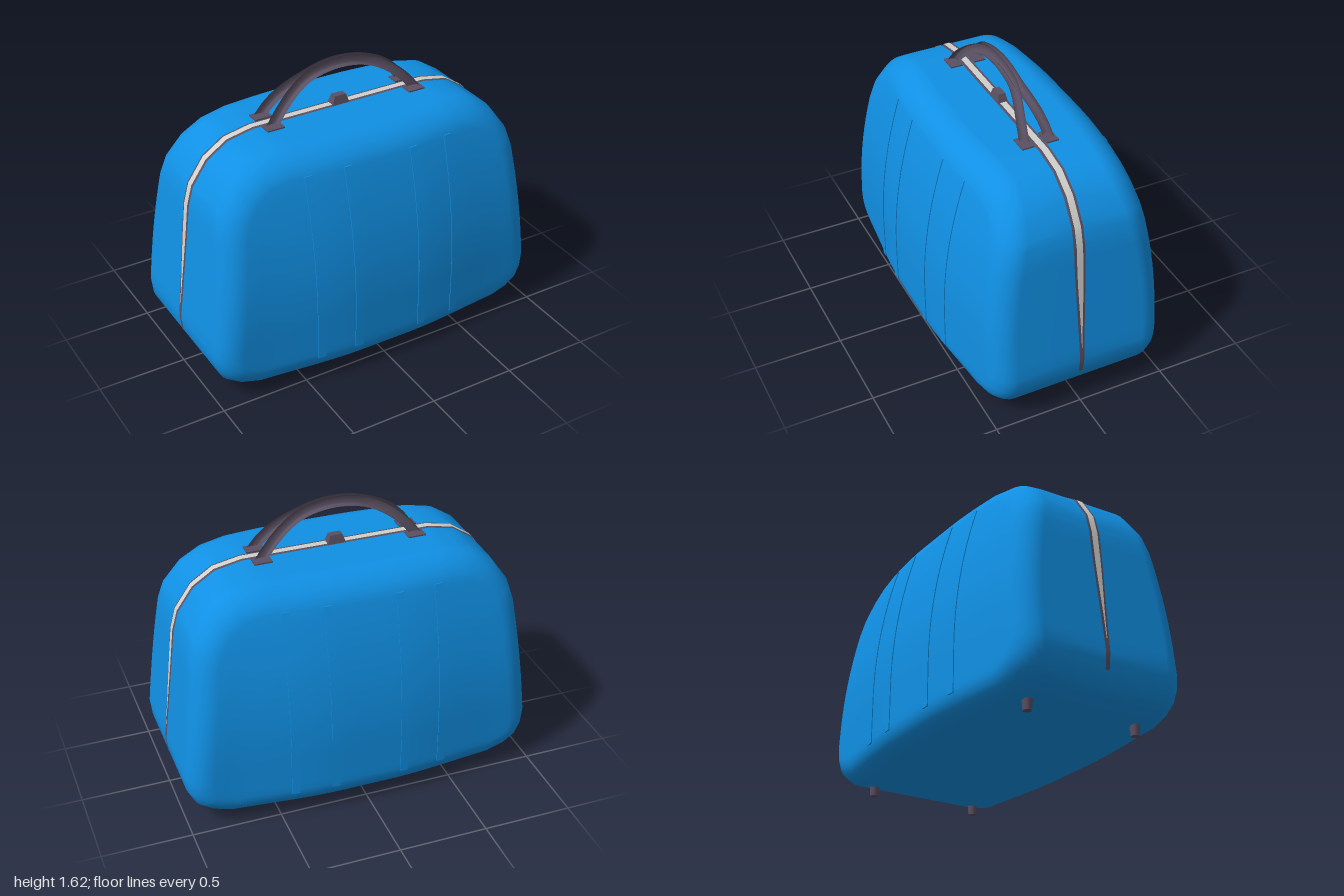
import * as THREE from 'three';

const smooth = THREE.MathUtils.smoothstep;
const lerp = THREE.MathUtils.lerp;

// Right half of the case outline, from bottom to top
const RIGHT = [[0.76, 0.05], [0.87, 0.078], [0.95, 0.13], [0.99, 0.21], [1, 0.3],
  [0.92, 1], [0.89, 1.11], [0.8, 1.24], [0.68, 1.32], [0.53, 1.35]];
const OUTLINE = [...RIGHT, ...RIGHT.map(([x, y]) => [-x, y]).reverse()];
const FILLET = 0.13;

// Bulge of the large front and back faces
function faceDepth(x, y) {
  return 0.56 - 0.19 * Math.max(0, y - 0.4) ** 2 - 0.06 * smooth(Math.abs(x), 0.15, 0.95);
}

// Outline moved outwards by d (mitred corners), with long edges subdivided
function offsetOutline(d) {
  const n = OUTLINE.length;
  const normal = (i) => {
    const a = OUTLINE[(i + n) % n], b = OUTLINE[(i + 1) % n];
    return new THREE.Vector2(b[1] - a[1], a[0] - b[0]).normalize();
  };
  const moved = OUTLINE.map(([x, y], i) => {
    const n1 = normal(i - 1), n2 = normal(i);
    const k = d / (1 + n1.dot(n2));
    return [x + (n1.x + n2.x) * k, y + (n1.y + n2.y) * k];
  });
  const points = [];
  moved.forEach((p, i) => {
    const a = OUTLINE[i], b = OUTLINE[(i + 1) % n], q = moved[(i + 1) % n];
    const steps = Math.ceil(Math.hypot(b[0] - a[0], b[1] - a[1]) / 0.08);
    for (let s = 0; s < steps; s++) {
      points.push([lerp(p[0], q[0], s / steps), lerp(p[1], q[1], s / steps)]);
    }
  });
  return points;
}

// Surface through rows of points; closed joins the end of each row to its start
function loft(rows, closed, flip = false) {
  const n = rows[0].length, index = [];
  for (let i = 0; i < rows.length - 1; i++) {
    for (let j = 0; j < (closed ? n : n - 1); j++) {
      const k = (j + 1) % n;
      const a = i * n + j, b = i * n + k, c = a + n, d = b + n;
      if (flip) index.push(a, c, b, b, c, d);
      else index.push(a, b, c, b, d, c);
    }
  }
  const geometry = new THREE.BufferGeometry();
  geometry.setAttribute('position', new THREE.Float32BufferAttribute(rows.flat(2), 3));
  geometry.setIndex(index);
  geometry.computeVertexNormals();
  return geometry;
}

// One half of the case: straight wall, rounded edge, bulged face
function shellGeometry(side) {
  const rows = [offsetOutline(0).map(([x, y]) => [x, y, 0])];
  for (let i = 0; i <= 7; i++) {
    const t = (i / 7) * Math.PI / 2;
    rows.push(offsetOutline(-FILLET * (1 - Math.cos(t))).map(([x, y]) =>
      [x, y, side * (faceDepth(x, y) - FILLET * (1 - Math.sin(t)))]));
  }
  const inner = offsetOutline(-FILLET);
  for (let i = 1; i <= 12; i++) {
    const k = 1 - i / 12;
    rows.push(inner.map(([x, y]) => {
      const px = x * k, py = lerp(0.65, y, k);
      return [px, py, side * faceDepth(px, py)];
    }));
  }
  return loft(rows, true, side < 0);
}

// Thin strip running up one side, over the top and down the other
function seamGeometry(lift, minY, width) {
  const path = offsetOutline(lift).filter(([, y]) => y > minY);
  return loft([-1, 1].map((s) => path.map(([x, y]) => [x, y, s * width(y)])), false);
}

// Shallow rib that follows the bulge of the face
function ribGeometry(x) {
  const geometry = new THREE.BoxGeometry(0.045, 1.07, 0.03, 1, 20, 1);
  geometry.translate(x, 0.695, -0.01);
  const p = geometry.attributes.position;
  for (let i = 0; i < p.count; i++) {
    p.setZ(i, p.getZ(i) + faceDepth(p.getX(i), p.getY(i)));
  }
  geometry.computeVertexNormals();
  return geometry;
}

// One arched strand of the handle, spreading away from the centre at its ends
function strandGeometry(side) {
  const rows = [], radius = 0.526, centreY = 1.067;
  for (let i = 0; i <= 40; i++) {
    const a = lerp(-1.03, 1.03, i / 40);
    const z = side * (0.012 + 0.06 * smooth(Math.abs(radius * Math.sin(a)), 0.16, 0.48));
    const row = [];
    for (let j = 0; j < 12; j++) {
      const t = (j / 12) * Math.PI * 2;
      const square = (v) => Math.sign(v) * Math.abs(v) ** 0.6;
      const r = radius + 0.027 * square(Math.cos(t));
      row.push([r * Math.sin(a), centreY + r * Math.cos(a), z + 0.023 * square(Math.sin(t))]);
    }
    rows.push(row);
  }
  return loft(rows, true, true);
}

export function createModel() {
  const blue = new THREE.MeshStandardMaterial({ color: 0x1090e4 });
  blue.name = 'blue shell';
  const dark = new THREE.MeshStandardMaterial({ color: 0x5a5062 });
  dark.name = 'dark trim';
  const silver = new THREE.MeshStandardMaterial({ color: 0xd0d0cc, side: THREE.DoubleSide });
  silver.name = 'silver zip';

  const model = new THREE.Group();
  model.name = 'suitcase';
  const add = (name, geometry, material, x = 0, y = 0, z = 0) => {
    const mesh = new THREE.Mesh(geometry, material);
    mesh.name = name;
    mesh.position.set(x, y, z);
    model.add(mesh);
    return mesh;
  };

  // Case halves with ribs
  for (const side of [1, -1]) {
    add(side > 0 ? 'frontShell' : 'backShell', shellGeometry(side), blue);
    for (const x of [-0.425, -0.2, 0.2, 0.425]) {
      add('rib', ribGeometry(x), blue).rotation.y = side > 0 ? 0 : Math.PI;
    }
  }

  // Seam and zip, narrowing towards the bottom
  add('seam', seamGeometry(0.002, 0.2, (y) => 0.012 + 0.02 * smooth(y, 0.2, 1)), dark);
  add('zip', seamGeometry(0.005, 0.35, (y) => 0.002 + 0.016 * smooth(y, 0.35, 0.9)), silver);

  // Handle strands and their pads
  for (const side of [1, -1]) {
    add('handleStrand', strandGeometry(side), dark);
    for (const x of [-0.435, 0.435]) {
      add('handlePad', new THREE.BoxGeometry(0.1, 0.03, 0.07), dark, x, 1.343, side * 0.07);
    }
  }

  // Tapered latch on the top
  const latch = new THREE.CylinderGeometry(0.035, 0.055, 0.06, 4, 1).toNonIndexed();
  latch.rotateY(Math.PI / 4);
  latch.scale(Math.SQRT2, 1, 0.8);
  latch.computeVertexNormals();
  add('latch', latch, dark, 0, 1.37, 0);

  // Feet
  for (const x of [-0.775, 0.775]) {
    for (const z of [-0.325, 0.325]) {
      add('foot', new THREE.CylinderGeometry(0.03, 0.023, 0.09, 12), dark, x, 0.045, z);
    }
  }
  return model;
}
